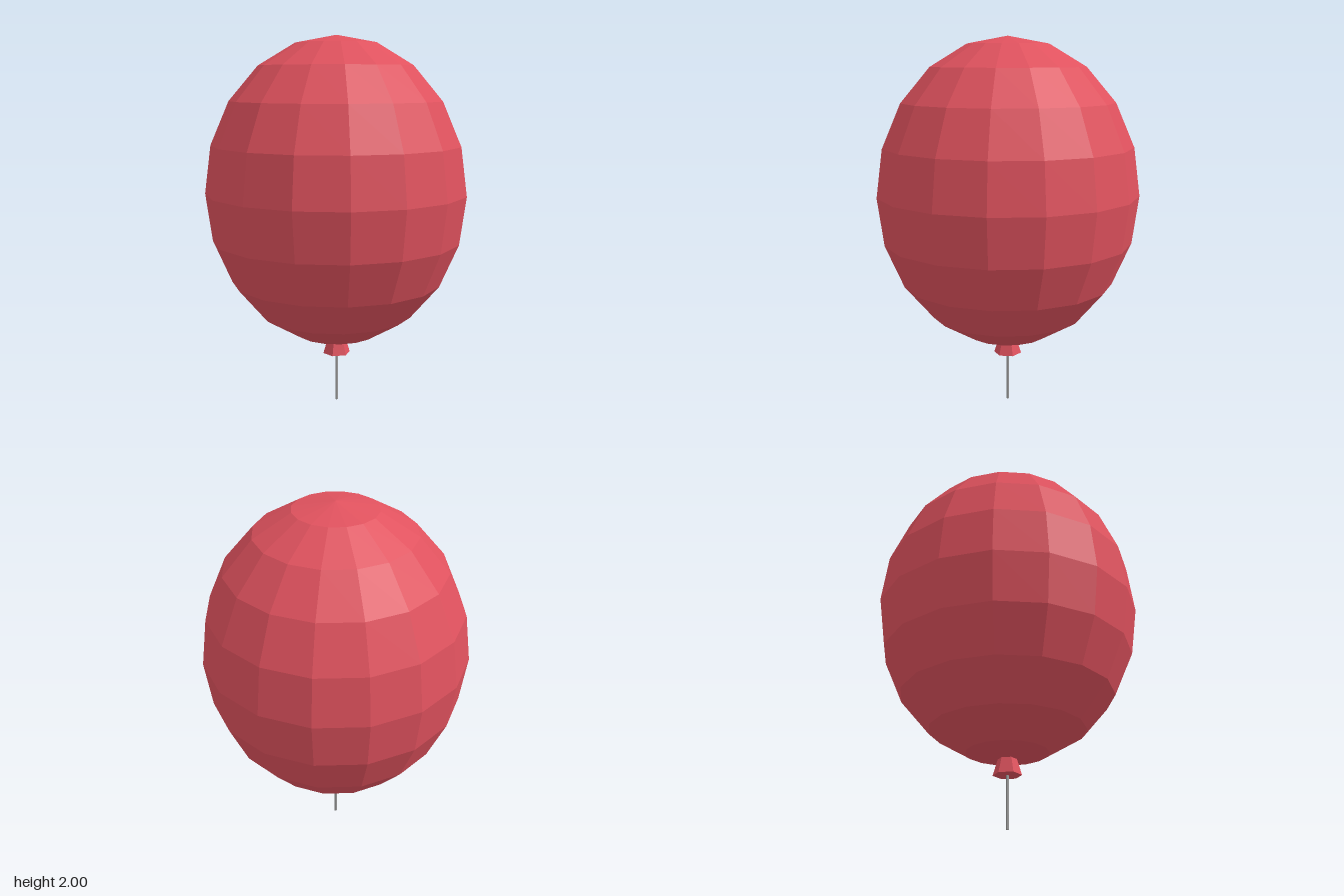
import * as THREE from 'three';

export function createModel() {
  const model = new THREE.Group();
  model.name = 'balloon';

  const red = new THREE.MeshStandardMaterial({ color: 0xe0525e, flatShading: true });
  red.name = 'balloon red';
  const grey = new THREE.MeshStandardMaterial({ color: 0x999999, flatShading: true });
  grey.name = 'string grey';

  const add = (name, geometry, material, y) => {
    const mesh = new THREE.Mesh(geometry, material);
    mesh.name = name;
    mesh.position.y = y;
    model.add(mesh);
  };

  // Faceted, slightly tall body
  const body = new THREE.SphereGeometry(0.7, 16, 10);
  body.scale(1, 0.825 / 0.7, 1);
  add('body', body, red, 1.175);

  // Six-sided flared knot, its top tucked into the body
  add('knot', new THREE.CylinderGeometry(0.046, 0.075, 0.095, 6), red, 0.3225);

  // Straight string from the ground into the knot
  add('string', new THREE.CylinderGeometry(0.0075, 0.0075, 0.3, 8), grey, 0.15);

  return model;
}
